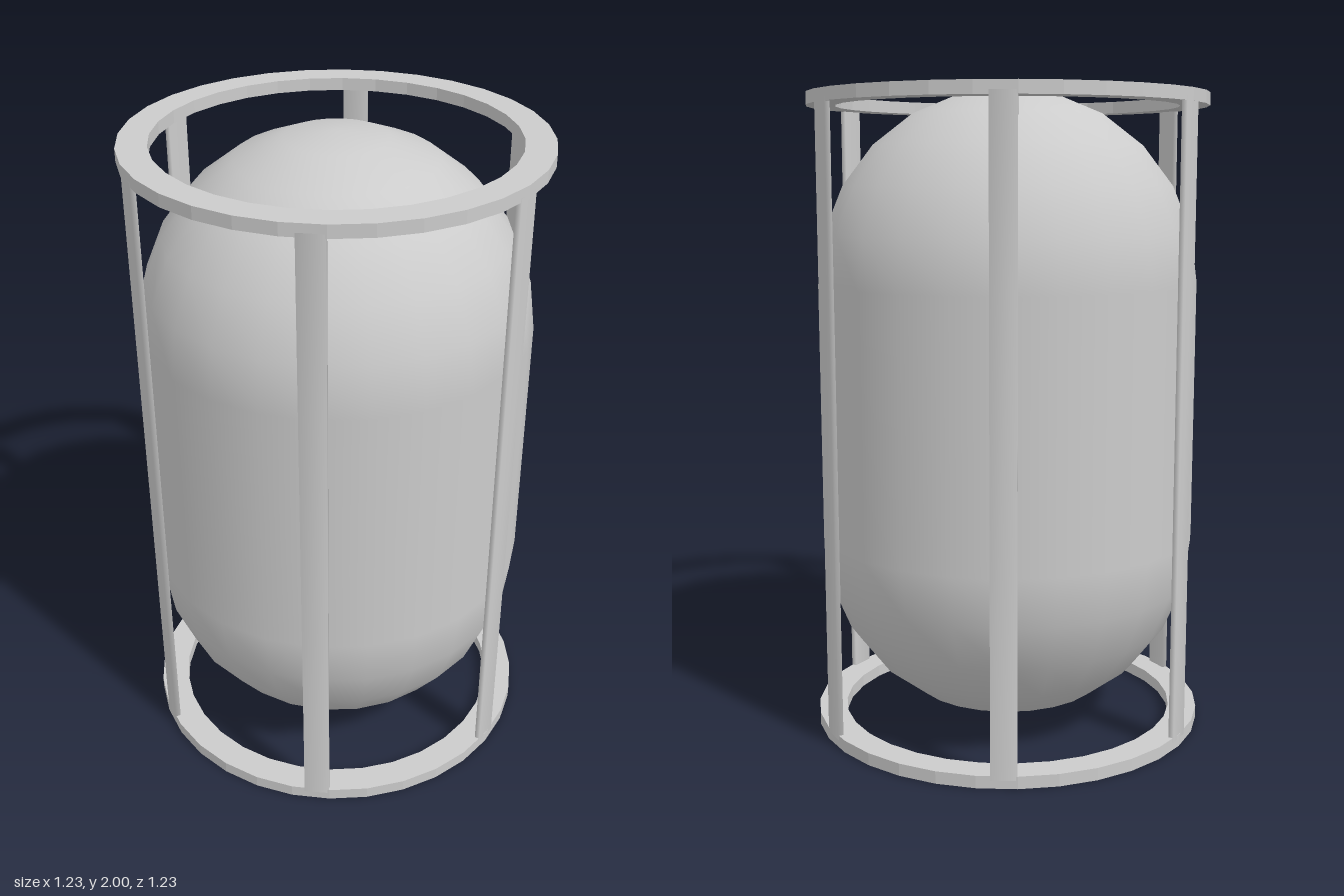
import * as THREE from 'three';
import { mergeVertices } from 'three/addons/utils/BufferGeometryUtils.js';

const material = new THREE.MeshStandardMaterial({ color: 0xcccccc });

function addMesh(parent, name, geometry) {
  const mesh = new THREE.Mesh(geometry, material);
  mesh.name = name;
  parent.add(mesh);
  return mesh;
}

// Flat annular hoop lying on y = 0, with crisp edges
function hoopGeometry(outer, inner, height, sides) {
  const circle = (r) => Array.from({ length: sides }, (_, i) => {
    const a = (i / sides) * Math.PI * 2;
    return new THREE.Vector2(r * Math.cos(a), r * Math.sin(a));
  });
  const shape = new THREE.Shape(circle(outer));
  shape.holes.push(new THREE.Path(circle(inner)));
  const geometry = new THREE.ExtrudeGeometry(shape, { depth: height, bevelEnabled: false });
  return geometry.rotateX(-Math.PI / 2);
}

// Thin upright bar with softened shading across its edges
function postGeometry(width, height, depth) {
  const box = new THREE.BoxGeometry(width, height, depth);
  box.deleteAttribute('normal');
  box.deleteAttribute('uv');
  const geometry = mergeVertices(box);
  geometry.computeVertexNormals();
  return geometry;
}

export function createModel() {
  const model = new THREE.Group();
  model.name = 'cagedTank';

  // Tank: cylinder with hemispherical ends
  const radius = 0.593, bottom = 0.022, top = 2;
  const tank = addMesh(model, 'tank',
    new THREE.CapsuleGeometry(radius, top - bottom - 2 * radius, 6, 24));
  tank.position.y = (top + bottom) / 2;

  // Hoops at the bottom and top of the cage
  const hoop = hoopGeometry(0.617, 0.528, 0.038, 32);
  addMesh(model, 'bottomHoop', hoop);
  addMesh(model, 'topHoop', hoop).position.y = 1.943;

  // Six posts joining the hoops
  const posts = new THREE.Group();
  posts.name = 'posts';
  model.add(posts);
  const post = postGeometry(0.078, 1.93, 0.017);
  for (let i = 0; i < 6; i++) {
    const angle = Math.PI / 2 + (i * Math.PI) / 3;
    const mesh = addMesh(posts, 'post', post);
    mesh.position.set(0.607 * Math.sin(angle), 0.99, 0.607 * Math.cos(angle));
    mesh.rotation.y = angle;
  }
  return model;
}
